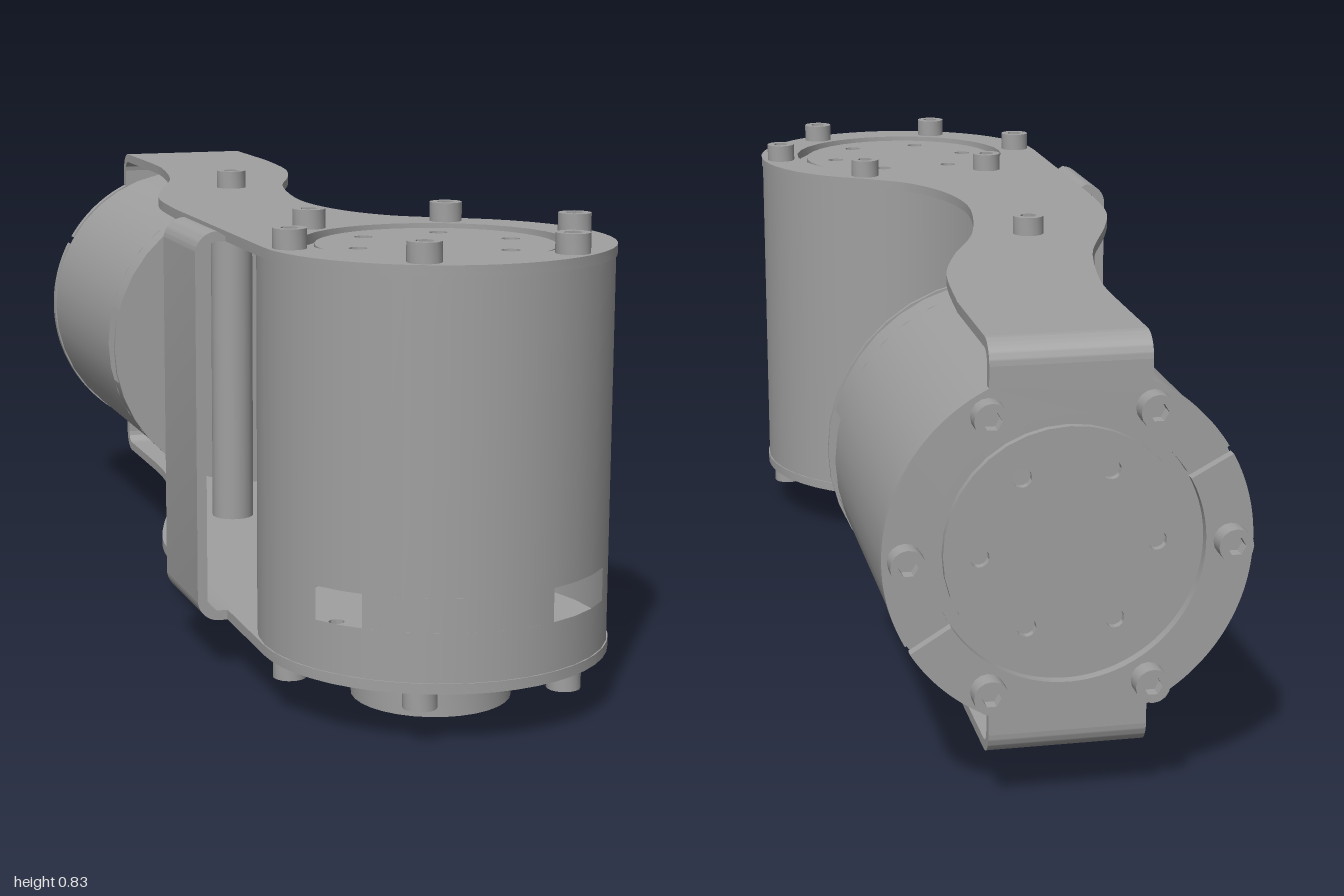
import * as THREE from 'three';
import { toCreasedNormals } from 'three/addons/utils/BufferGeometryUtils.js';

const grey = new THREE.MeshStandardMaterial({ color: 0xa0a0a0, side: THREE.DoubleSide });
grey.name = 'plainGrey';

const T = 0.018;             // sheet thickness
const R = 0.305;             // motor radius
const OPEN = 0.226;          // opening in the sheet over each motor end
const CX = 0.025, CZ = 0.695, CY = 0.445;
const TOP = 0.795, BOTTOM = 0.095;
const RAD = Math.PI / 180;

function add(parent, name, geometry, x = 0, y = 0, z = 0) {
  const mesh = new THREE.Mesh(geometry, grey);
  mesh.name = name;
  mesh.position.set(x, y, z);
  parent.add(mesh);
  return mesh;
}

function extrude(shape, depth, curveSegments = 24) {
  const g = new THREE.ExtrudeGeometry(shape, { depth, bevelEnabled: false, curveSegments });
  return toCreasedNormals(g, 0.6);
}

// Extrusion lying flat: shape y becomes z, base at y = 0, rising by depth
function flat(shape, depth, segments) {
  return extrude(shape, depth, segments).rotateX(Math.PI / 2).translate(0, depth, 0);
}

function circle(r, x = 0, y = 0, Type = THREE.Shape) {
  return new Type().absarc(x, y, r, 0, Math.PI * 2, false);
}

function discWithHoles(r, depth, count, holeRing, holeRadius, startDeg) {
  const s = circle(r);
  for (let i = 0; i < count; i++) {
    const a = (startDeg + i * 360 / count) * RAD;
    s.holes.push(circle(holeRadius, Math.cos(a) * holeRing, Math.sin(a) * holeRing, THREE.Path));
  }
  return flat(s, depth, 18);
}

// Socket-head bolt standing on y; dir = -1 turns it downwards
function bolt(parent, x, y, z, dir = 1) {
  const g = new THREE.Group();
  g.name = 'bolt';
  const s = circle(0.029);
  const hex = [];
  for (let i = 0; i < 6; i++) {
    hex.push(new THREE.Vector2(Math.cos(i * 60 * RAD) * 0.016, Math.sin(i * 60 * RAD) * 0.016));
  }
  s.holes.push(new THREE.Path(hex));
  add(g, 'boltHead', flat(s, 0.034, 8));
  add(g, 'boltSocketFloor', new THREE.CylinderGeometry(0.02, 0.02, 0.012, 8), 0, 0.006, 0);
  g.position.set(x, y, z);
  if (dir < 0) g.rotation.x = Math.PI;
  parent.add(g);
}

function boltCircle(parent, y, startDeg, dir) {
  for (let i = 0; i < 6; i++) {
    const a = (startDeg + i * 60) * RAD;
    bolt(parent, Math.cos(a) * 0.267, y, Math.sin(a) * 0.267, dir);
  }
}

// Hollow can with window slots between y0 and y1; windows are [start, end] degrees in order
function motor(name, height, y0, y1, windows, startDeg) {
  const g = new THREE.Group();
  g.name = name;
  const r = R - 0.002;
  const band = (a, b, from, to) => {
    const geo = new THREE.CylinderGeometry(r, r, b - a, Math.max(2, Math.round((to - from) / 10)), 1,
      true, from * RAD, (to - from) * RAD);
    add(g, 'canWall', geo, 0, (a + b) / 2, 0);
  };
  band(0, y0, 0, 360);
  band(y1, height, 0, 360);
  windows.forEach(([, end], i) => {
    const next = i + 1 < windows.length ? windows[i + 1][0] : windows[0][0] + 360;
    band(y0, y1, end, next);
  });
  // Upper end: floor and rotor face
  add(g, 'endFloor', new THREE.CylinderGeometry(r, r, 0.01, 36), 0, height - 0.006, 0);
  add(g, 'rotorFace', discWithHoles(0.205, 0.014, 6, 0.146, 0.016, startDeg - 2), 0, height - 0.002, 0);
  boltCircle(g, height + T, startDeg, 1);
  return g;
}

// Curved arm outline in x and z, with the motor opening
function armShape() {
  const v = (x, z) => new THREE.Vector2(x, z);
  const s = new THREE.Shape();
  s.moveTo(-0.107, -0.928);
  s.lineTo(-0.107, -0.7);
  s.splineThru([v(-0.115, -0.58), v(-0.155, -0.37), v(-0.23, -0.16), v(-0.268, -0.02), v(-0.28, 0.14)]);
  s.lineTo(CX - R, CZ);
  s.absarc(CX, CZ, R, Math.PI, -1, true);
  s.splineThru([v(0.126, 0.398), v(0.063, 0.345), v(0.012, 0.25), v(-0.012, 0.13), v(-0.005, 0),
    v(0.033, -0.185), v(0.095, -0.345), v(0.138, -0.5), v(0.157, -0.7)]);
  s.lineTo(0.157, -0.928);
  s.closePath();
  s.holes.push(circle(OPEN, CX, CZ, THREE.Path));
  return s;
}

// Half of the rear flange, with its strap and the bend into the arm
function rearHalf() {
  const g = new THREE.Group();
  g.name = 'rearFlangeHalf';
  const w = 0.132, a0 = -28.5 * RAD, a1 = 148.5 * RAD;
  const s = new THREE.Shape();
  s.absarc(0, 0, OPEN, a0, a1, false);
  s.absarc(0, 0, R, a1, Math.acos(-w / R), true);
  s.lineTo(-w, 0.31);
  s.lineTo(w, 0.31);
  s.absarc(0, 0, R, Math.acos(w / R), a0, true);
  s.closePath();
  add(g, 'rearFlange', extrude(s, T), 0, 0, -0.968);
  const b = new THREE.Shape();
  b.absarc(0, 0, 0.04, 0, Math.PI / 2, false);
  b.absarc(0, 0, 0.04 - T, Math.PI / 2, 0, true);
  b.closePath();
  add(g, 'rearBend', extrude(b, 2 * w, 8).rotateY(Math.PI / 2), -w, 0.31, -0.928);
  return g;
}

// Side wall joining both arms, bent round at top and bottom
function sideWall() {
  const x0 = -0.335, x1 = -0.265, ro = 0.04, ri = 0.04 - T, c = x0 + ro;
  const s = new THREE.Shape();
  s.moveTo(x1, TOP);
  s.absarc(c, TOP - ro, ro, Math.PI / 2, Math.PI, false);
  s.absarc(c, BOTTOM + ro, ro, Math.PI, Math.PI * 1.5, false);
  s.lineTo(x1, BOTTOM);
  s.lineTo(x1, BOTTOM + T);
  s.absarc(c, BOTTOM + ro, ri, Math.PI * 1.5, Math.PI, true);
  s.absarc(c, TOP - ro, ri, Math.PI, Math.PI / 2, true);
  s.lineTo(x1, TOP - T);
  s.closePath();
  return extrude(s, 0.215, 8);
}

export function createModel() {
  const model = new THREE.Group();
  model.name = 'jointedArmLink';

  // Sheet bracket
  const arm = flat(armShape(), T, 16);
  add(model, 'upperArm', arm, 0, TOP - T, 0);
  add(model, 'lowerArm', arm, 0, BOTTOM, 0);
  add(model, 'sideWall', sideWall(), 0, 0, 0.26);
  for (const turn of [0, Math.PI]) {
    const half = rearHalf();
    half.position.set(CX, CY, 0);
    half.rotation.z = turn;
    model.add(half);
  }

  // Spacer post between the arms
  add(model, 'spacerPost', new THREE.CylinderGeometry(0.042, 0.042, 0.664, 20), -0.075, CY, -0.188);
  bolt(model, -0.075, TOP, -0.188, 1);
  bolt(model, -0.075, BOTTOM, -0.188, -1);

  // Upright motor with output shaft below
  const upright = motor('uprightMotor', 0.664, 0.084, 0.142, [[20, 50], [200, 230], [300, 317]], -5);
  upright.position.set(CX, BOTTOM + T, CZ);
  boltCircle(upright, -T, -5, -1);
  add(upright, 'lowerFace', discWithHoles(R - 0.003, 0.01, 6, 0.165, 0.014, 20), 0, 0.001, 0);
  const profile = [[0.055, 0.1], [0.055, 0], [0.14, 0], [0.14, 0.045], [0.15, 0.045], [0.15, 0.055],
    [0.1, 0.055], [0.1, 0.118]].map(([x, y]) => new THREE.Vector2(x, y));
  const shaft = toCreasedNormals(new THREE.LatheGeometry(profile, 32), 0.6);
  add(upright, 'outputShaft', shaft, 0, -BOTTOM - T, 0);
  model.add(upright);

  // Lying motor, rotor face to the rear
  const lying = motor('lyingMotor', 0.595, 0.008, 0.072, [[75, 105], [255, 285]], 0);
  lying.rotation.x = -Math.PI / 2;
  lying.position.set(CX, CY, -0.355);
  add(lying, 'frontFace', discWithHoles(R + 0.002, 0.008, 4, 0.21, 0.017, 45));
  model.add(lying);

  return model;
}
